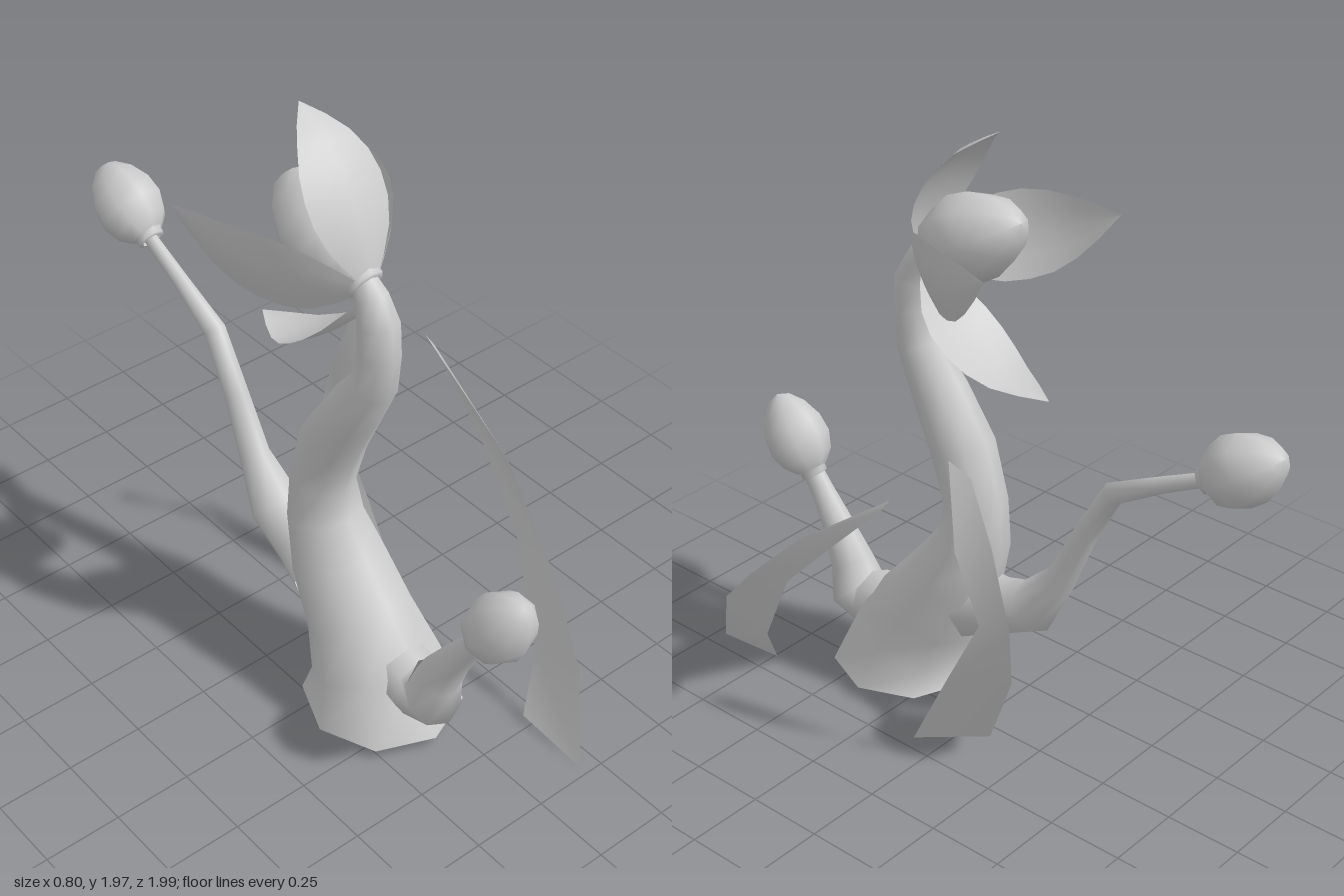
import * as THREE from 'three';

const CX = -0.09; // plane in which the stem and buds lie
const plantGrey = new THREE.MeshStandardMaterial({ color: 0xcccccc, side: THREE.DoubleSide });
plantGrey.name = 'plantGrey';

// Surface through rows of points
function skin(rows, closed, name) {
  const n = rows[0].length, pos = [], idx = [];
  rows.forEach(r => r.forEach(p => pos.push(p.x, p.y, p.z)));
  for (let i = 0; i < rows.length - 1; i++) {
    for (let j = 0; j < (closed ? n : n - 1); j++) {
      const k = (j + 1) % n;
      const a = i * n + j, b = i * n + k, c = a + n, d = b + n;
      idx.push(a, b, d, a, d, c);
    }
  }
  const geo = new THREE.BufferGeometry();
  geo.setAttribute('position', new THREE.Float32BufferAttribute(pos, 3));
  geo.setIndex(idx);
  geo.computeVertexNormals();
  const mesh = new THREE.Mesh(geo, plantGrey);
  mesh.name = name;
  return mesh;
}

// Tapered eight-sided stalk along [y, z, radius] stations
function stalk(path, name, firstDir, sides = 8) {
  const rows = path.map(([y, z, r], i) => {
    const p = path[Math.max(i - 1, 0)], q = path[Math.min(i + 1, path.length - 1)];
    let [ty, tz] = i === 0 && firstDir ? firstDir : [q[0] - p[0], q[1] - p[1]];
    const len = Math.hypot(ty, tz);
    ty /= len; tz /= len;
    return Array.from({ length: sides }, (_, j) => {
      const a = j / sides * Math.PI * 2, c = Math.cos(a) * r, s = Math.sin(a) * r;
      return new THREE.Vector3(CX + c, y + tz * s, z - ty * s);
    });
  });
  return skin(rows, true, name);
}

// Egg-shaped bud with a small collar, between two [y, z] points
function bud(from, to, radius, name) {
  const profile = [[-0.06, 0.3], [-0.05, 0.42], [0.02, 0.42], [0.03, 0.5], [0.16, 0.82],
    [0.36, 1], [0.58, 0.95], [0.8, 0.7], [0.95, 0.36], [1, 0]];
  return stalk(profile.map(([t, r]) => [
    from[0] + (to[0] - from[0]) * t, from[1] + (to[1] - from[1]) * t, r * radius]), name);
}

// Petal: smooth centre line, side direction, half width and cupping direction
function petal(points, side, half, cup, name) {
  const curve = new THREE.CatmullRomCurve3(points.map(p => new THREE.Vector3(...p)));
  const s = new THREE.Vector3(...side).normalize(), c = new THREE.Vector3(...cup);
  const widths = [0.1, 0.5, 0.82, 0.98, 1, 0.9, 0.68, 0.38, 0.01];
  const rows = widths.map((w, i) => {
    const p = curve.getPointAt(i / (widths.length - 1));
    return [-1, -0.5, 0, 0.5, 1].map(u => p.clone()
      .addScaledVector(s, u * w * half).addScaledVector(c, u * u * w));
  });
  return skin(rows, false, name);
}

// Blade leaf from pairs of edge points
function blade(pairs, name) {
  return skin(pairs.map(r => r.map(p => new THREE.Vector3(...p))), false, name);
}

export function createModel() {
  const g = new THREE.Group();
  g.name = 'flower';

  // Flared main stem, open underneath
  g.add(stalk([
    [0.04, 0.38, 0.25], [0.17, 0.345, 0.205], [0.30, 0.265, 0.17], [0.45, 0.165, 0.15],
    [0.6, 0.1, 0.118], [0.74, 0.09, 0.1], [0.91, 0.14, 0.102], [1.07, 0.23, 0.088],
    [1.21, 0.315, 0.07], [1.33, 0.335, 0.063], [1.43, 0.33, 0.062], [1.5, 0.3, 0.05],
    [1.54, 0.26, 0.04]], 'mainStem', [1, 0]));

  // Side branches
  g.add(stalk([
    [0.21, 0.38, 0.1], [0.2, 0.54, 0.1], [0.21, 0.61, 0.095], [0.31, 0.635, 0.07],
    [0.43, 0.7, 0.05], [0.53, 0.765, 0.038], [0.59, 0.805, 0.034]], 'frontBranch'));
  g.add(stalk([
    [0.37, 0.1, 0.12], [0.4, -0.01, 0.095], [0.455, -0.145, 0.085], [0.6, -0.25, 0.05],
    [0.785, -0.335, 0.04], [0.97, -0.435, 0.036], [1.06, -0.6, 0.026], [1.145, -0.77, 0.022]], 'backBranch'));

  // Buds
  g.add(bud([0.585, 0.8], [0.815, 0.955], 0.105, 'frontBud'));
  g.add(bud([1.145, -0.765], [1.29, -1.0], 0.11, 'backBud'));
  g.add(bud([1.54, 0.26], [1.715, -0.08], 0.138, 'flowerHeart'));

  // Petals around the flower heart
  g.add(petal([[CX, 1.53, 0.3], [CX, 1.66, 0.27], [CX, 1.79, 0.21], [CX, 1.9, 0.12], [CX, 1.975, -0.01]],
    [1, 0, 0], 0.132, [0, 0, -0.03], 'topPetal'));
  g.add(petal([[CX, 1.5, 0.29], [CX, 1.37, 0.21], [CX, 1.27, 0.1], [CX, 1.2, -0.03], [CX, 1.185, -0.19]],
    [1, 0, 0], 0.128, [0, 0.02, 0], 'bottomPetal'));
  for (const m of [-1, 1]) {
    const x = d => CX + m * d;
    g.add(petal([[x(0.02), 1.53, 0.29], [x(0.13), 1.54, 0.2], [x(0.21), 1.565, 0.1],
      [x(0.27), 1.6, -0.03], [x(0.305), 1.675, -0.2]],
      [m * 0.15, 0.95, 0.25], 0.135, [-m * 0.02, 0, 0], m < 0 ? 'rightPetal' : 'leftPetal'));
  }

  // Ground leaves
  g.add(blade([
    [[0.19, 0.005, 0.97], [0.19, 0.025, 0.72]],
    [[0.29, 0.26, 0.84], [0.285, 0.19, 0.66]],
    [[0.355, 0.455, 0.65], [0.355, 0.5, 0.48]],
    [[0.4, 0.72, 0.37], [0.4, 0.73, 0.25]],
    [[0.38, 0.985, 0.01], [0.4, 0.95, 0.03]]], 'frontLeaf'));
  g.add(blade([
    [[0.255, 0.055, 0.05], [0.11, 0.07, -0.14]],
    [[0.24, 0.33, -0.08], [0.135, 0.33, -0.245]],
    [[0.222, 0.56, -0.19], [0.2, 0.57, -0.29]],
    [[0.26, 0.81, -0.13], [0.2, 0.83, -0.22]],
    [[0.255, 1.105, -0.105], [0.205, 1.04, -0.145]]], 'backLeaf'));
  return g;
}
